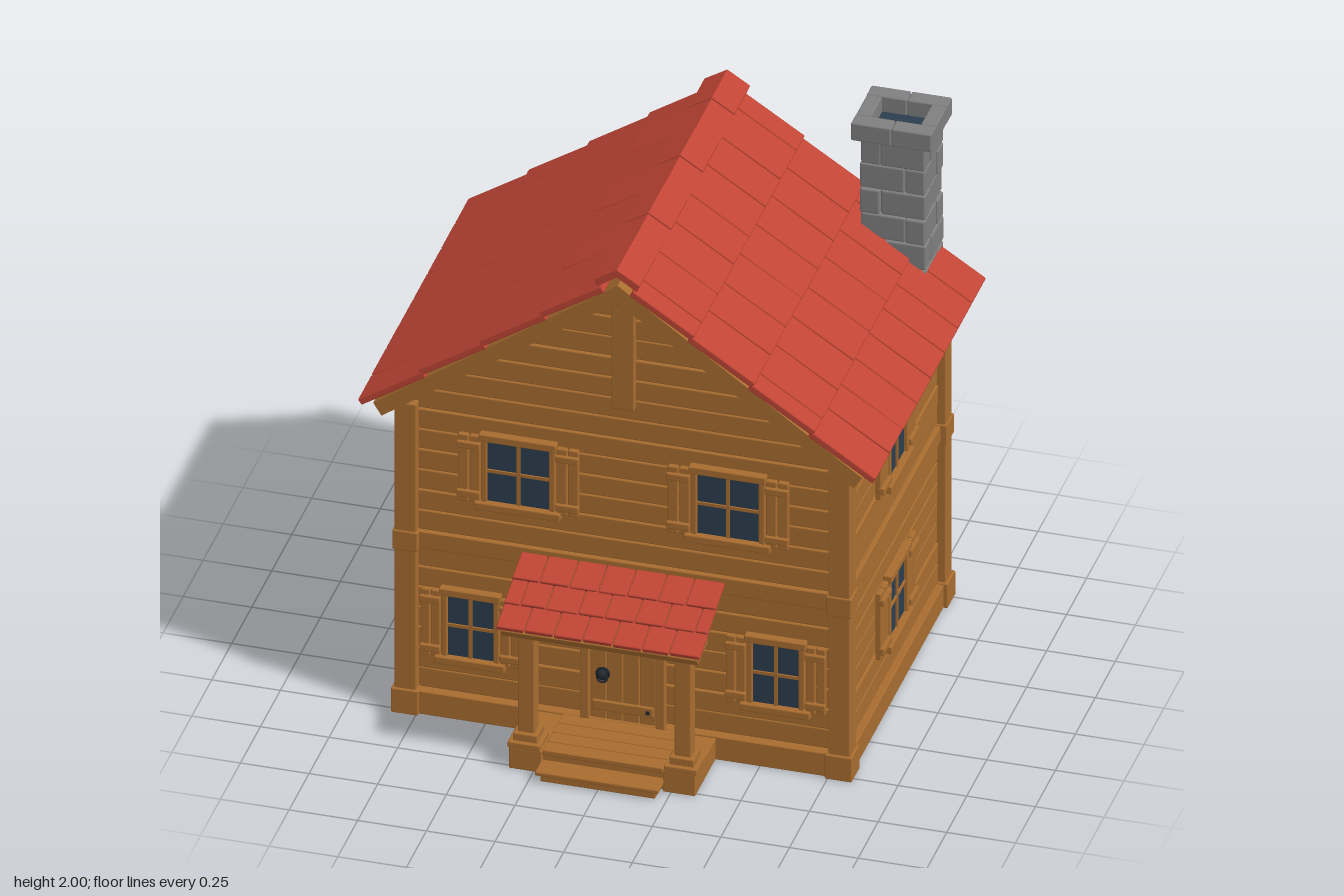
import * as THREE from 'three';
import { RoundedBoxGeometry } from 'three/addons/geometries/RoundedBoxGeometry.js';

const mat = (name, color) => Object.assign(new THREE.MeshStandardMaterial({ color }), { name });

export function createModel() {
  const wood = mat('wood', 0xa96d30), red = mat('redTile', 0xc04535);
  const stone = mat('stone', 0x808080), glass = mat('darkGlass', 0x2c3e50), iron = mat('iron', 0x22282e);

  let seed = 7;
  const jitter = (a) => {
    seed = (seed * 16807) % 2147483647;
    return (seed / 2147483647 - 0.5) * 2 * a;
  };
  const group = (parent, name, x = 0, y = 0, z = 0, ry = 0) => {
    const g = new THREE.Group();
    g.name = name;
    g.position.set(x, y, z);
    g.rotation.y = ry;
    parent.add(g);
    return g;
  };
  const add = (parent, name, geo, m, x = 0, y = 0, z = 0) => {
    const mesh = new THREE.Mesh(geo, m);
    mesh.name = name;
    mesh.position.set(x, y, z);
    parent.add(mesh);
    return mesh;
  };
  // box given by its extents, with softened edges
  const block = (parent, name, m, x0, x1, y0, y1, z0, z1, r = 0.005) => {
    const w = x1 - x0, h = y1 - y0, d = z1 - z0;
    const geo = r ? new RoundedBoxGeometry(w, h, d, 1, Math.min(r, w / 3, h / 3, d / 3)) : new THREE.BoxGeometry(w, h, d);
    return add(parent, name, geo, m, (x0 + x1) / 2, (y0 + y1) / 2, (z0 + z1) / 2);
  };
  // sloping slab whose underside runs from a to b in the xy plane
  const slab = (parent, name, m, a, b, t, z0, z1) => {
    const dx = b[0] - a[0], dy = b[1] - a[1], ang = Math.atan(dy / dx);
    const geo = new RoundedBoxGeometry(Math.hypot(dx, dy), t, z1 - z0, 1, 0.005);
    const mesh = add(parent, name, geo, m, (a[0] + b[0]) / 2 - Math.sin(ang) * t / 2,
      (a[1] + b[1]) / 2 + Math.cos(ang) * t / 2, (z0 + z1) / 2);
    mesh.rotation.z = ang;
    return mesh;
  };
  const extrude = (parent, name, m, pts, z0, z1) => {
    const shape = new THREE.Shape(pts.map((p) => new THREE.Vector2(...p)));
    return add(parent, name, new THREE.ExtrudeGeometry(shape, { depth: z1 - z0, bevelEnabled: false }), m, 0, 0, z0);
  };

  const house = new THREE.Group();
  house.name = 'house';

  // solid core behind the planks
  extrude(house, 'wallCore', wood, [[-0.77, 0.01], [0.77, 0.01], [0.77, 1.3], [0, 1.87], [-0.77, 1.3]], -0.705, 0.46);

  // base and middle band, with corner posts and their blocks
  block(house, 'baseBeam', wood, -0.825, 0.825, 0, 0.095, -0.755, 0.515);
  block(house, 'middleBand', wood, -0.812, 0.812, 0.677, 0.745, -0.742, 0.502);
  for (const s of [-1, 1]) for (const z of [0.48, -0.72]) {
    const corner = group(house, 'cornerPost', s * 0.79, 0, z);
    block(corner, 'post', wood, -0.04, 0.04, 0.02, 1.275, -0.04, 0.04);
    block(corner, 'footBlock', wood, -0.05, 0.05, 0, 0.1, -0.05, 0.05);
    block(corner, 'bandBlock', wood, -0.046, 0.046, 0.67, 0.75, -0.046, 0.046);
  }

  // plank cladding; the gable planks taper with the roof
  const half = (y) => Math.min(0.78, (1.89 - y) / 0.715);
  const plank = (parent, y0, y1, w0, w1) => {
    const h = y1 - y0 - 0.003, d = 0.04;
    const geo = new RoundedBoxGeometry(2 * w0, h, d, 1, 0.006);
    const p = geo.attributes.position;
    for (let i = 0; i < p.count; i++) p.setX(i, p.getX(i) * (1 + (w1 / w0 - 1) * (p.getY(i) / h + 0.5)));
    add(parent, 'plank', geo, wood, 0, (y0 + y1) / 2, -d / 2 + jitter(0.003));
  };
  const walls = [
    ['frontWall', 0, 0.488, 0, true], ['backWall', 0, -0.728, Math.PI, true],
    ['leftWall', 0.8, -0.12, Math.PI / 2, false], ['rightWall', -0.8, -0.12, -Math.PI / 2, false],
  ];
  const wall = {};
  for (const [name, x, z, ry, gable] of walls) {
    const g = wall[name] = group(house, name, x, 0, z, ry);
    for (let i = 0; i < 7; i++) plank(g, 0.095 + i * 0.0832, 0.095 + (i + 1) * 0.0832, gable ? 0.78 : 0.58, gable ? 0.78 : 0.58);
    for (let i = 0; i < (gable ? 13 : 7); i++) {
      const y0 = 0.745 + i * 0.0832, y1 = Math.min(y0 + 0.0832, gable ? 2 : 1.3);
      plank(g, y0, y1, gable ? half(y0) : 0.58, gable ? half(y1) : 0.58);
    }
    if (gable) {
      block(g, 'gablePost', wood, -0.042, 0.042, 1.38, 1.87, -0.01, 0.025);
      block(g, 'gablePostCap', wood, -0.05, 0.05, 1.815, 1.86, -0.01, 0.035);
    }
  }

  // shuttered window, centred on its own origin on the wall face
  const window_ = (parent, x, y, w, sw) => {
    const g = group(parent, 'window', x, y, 0), a = w / 2, h = 0.125;
    block(g, 'pane', glass, -a, a, -h, h, 0.004, 0.012, 0);
    block(g, 'mullion', wood, -0.006, 0.006, -h, h, 0.008, 0.019, 0);
    block(g, 'transom', wood, -a, a, -0.006, 0.006, 0.008, 0.018, 0);
    block(g, 'header', wood, -a - 0.022, a + 0.022, h, h + 0.03, 0, 0.034);
    block(g, 'sill', wood, -a - 0.038, a + 0.038, -h - 0.03, -h, 0, 0.038);
    for (const s of [-1, 1]) {
      block(g, 'jamb', wood, s * (a + 0.005) - 0.011, s * (a + 0.005) + 0.011, -h, h, 0, 0.026);
      const sh = group(g, 'shutter', s * (a + 0.018 + sw / 2));
      for (const k of [-1, 1]) {
        block(sh, 'board', wood, k * sw / 4 - sw / 4 + 0.002, k * sw / 4 + sw / 4 - 0.002, -0.137, 0.137, 0, 0.022);
        block(sh, 'cleat', wood, -sw / 2, sw / 2, k * 0.1 - 0.014, k * 0.1 + 0.014, 0.01, 0.034);
      }
    }
  };
  for (const s of [-1, 1]) {
    window_(wall.frontWall, s * 0.382, 1.04, 0.238, 0.085);
    window_(wall.frontWall, s * 0.556, 0.38, 0.18, 0.075);
  }
  for (const y of [0.38, 1.04]) {
    window_(wall.leftWall, 0, y, 0.21, 0.1);
    window_(wall.rightWall, 0, y, 0.21, 0.1);
  }
  window_(wall.backWall, -0.02, 1.04, 0.21, 0.09);
  window_(wall.backWall, 0.33, 0.38, 0.21, 0.09);

  // main roof: wooden deck, four tile courses a side, ridge caps
  const roof = group(house, 'roof');
  extrude(roof, 'roofDeck', wood, [[0, 1.93], [-0.89, 1.293], [-0.86, 1.245], [0, 1.86], [0.86, 1.245], [0.89, 1.293]], -0.79, 0.575);
  const zBack = -0.8, zFront = 0.587;
  const cuts = (offset, n, lo, hi) => {
    const step = (hi - lo) / n, list = [lo];
    for (let i = 1; i <= n; i++) {
      const z = lo + (i - offset) * step;
      if (z - lo > 0.02 && hi - z > 0.02) list.push(z + jitter(0.008));
    }
    return [...list, hi];
  };
  const deckY = (x) => 1.93 - 0.715 * x;
  for (const s of [-1, 1]) for (let i = 0; i < 4; i++) {
    const lo = 0.93 - i * 0.22, hi = i < 3 ? lo - 0.235 : 0.045;
    const c = cuts(i % 2 ? 0.5 : 0, i ? 7 : 8, zBack, zFront);
    for (let k = 0; k < c.length - 1; k++) {
      const lift = 0.018 + jitter(0.002);
      slab(roof, 'roofTile', red, [s * lo, deckY(lo) + lift], [s * hi, deckY(hi) + 0.002], 0.026, c[k] + 0.002, c[k + 1] - 0.002);
    }
  }
  const capLen = (zFront - zBack) / 7;
  for (let i = 0; i < 7; i++) {
    const d = i % 2 ? 0.003 : 0;
    extrude(roof, 'ridgeCap', red, [[0, 2 - d], [-0.083, 1.948 - d], [-0.073, 1.922], [0, 1.97], [0.073, 1.922], [0.083, 1.948 - d]],
      zBack + i * capLen + 0.002, zBack + (i + 1) * capLen - 0.002);
  }

  // chimney: staggered stone courses and an open crown
  const chimney = group(house, 'chimney', 0.66, 0, -0.71);
  const courses = 19, ch = 1.93 / courses;
  for (let i = 0; i < courses; i++) {
    const o = i % 2 ? 1 : -1, mx = o * 0.045, mz = -o * 0.04, y = i * ch;
    for (const [x0, x1] of [[-0.12, mx], [mx, 0.12]]) for (const [z0, z1] of [[-0.112, mz], [mz, 0.112]]) {
      const jx = jitter(0.004), jz = jitter(0.004);
      block(chimney, 'stoneBlock', stone, x0 + jx + 0.001, x1 + jx - 0.001, y + (i ? 0.001 : 0), y + ch - 0.001, z0 + jz + 0.001, z1 + jz - 0.001, 0.008);
    }
  }
  for (const s of [-1, 1]) {
    const z = s * 0.1, x = s * 0.118;
    block(chimney, 'crownStone', stone, -0.147, -0.001, 1.928, 2, z - 0.032, z + 0.032, 0.006);
    block(chimney, 'crownStone', stone, 0.001, 0.147, 1.928, 2, z - 0.032, z + 0.032, 0.006);
    block(chimney, 'crownStone', stone, x - 0.028, x + 0.028, 1.928, 2, -0.069, 0.069, 0.006);
  }
  block(chimney, 'flueOpening', glass, -0.095, 0.095, 1.93, 1.938, -0.073, 0.073, 0);

  // porch floor, step and posts
  const porch = group(house, 'porch');
  block(porch, 'porchBase', wood, -0.325, 0.325, 0, 0.075, 0.48, 0.755);
  for (let i = 0; i < 4; i++) block(porch, 'floorBoard', wood, -0.22, 0.22, 0.07, 0.092, 0.51 + i * 0.064, 0.572 + i * 0.064);
  block(porch, 'stepRiser', wood, -0.21, 0.21, 0, 0.032, 0.74, 0.825);
  block(porch, 'stepTread', wood, -0.225, 0.225, 0.03, 0.047, 0.74, 0.84);
  for (const s of [-1, 1]) {
    block(porch, 'sideSill', wood, s * 0.28 - 0.06, s * 0.28 + 0.06, 0, 0.088, 0.5, 0.77);
    const post = group(porch, 'porchPost', s * 0.285, 0, 0.712);
    block(post, 'plinth', wood, -0.06, 0.06, 0.085, 0.11, -0.06, 0.06);
    block(post, 'plinthStep', wood, -0.045, 0.045, 0.108, 0.14, -0.045, 0.045);
    block(post, 'shaft', wood, -0.03, 0.03, 0.135, 0.6, -0.029, 0.029);
    block(post, 'capital', wood, -0.042, 0.042, 0.56, 0.582, -0.041, 0.041);
  }
  block(porch, 'porchBeam', wood, -0.36, 0.36, 0.58, 0.605, 0.68, 0.745);

  // porch roof, sloping forward
  const porchRoof = group(porch, 'porchRoof', 0, 0, 0, -Math.PI / 2);
  const porchY = (z) => 0.7 - 0.4 * (z - 0.53);
  slab(porchRoof, 'porchDeck', wood, [0.8, porchY(0.8) - 0.032], [0.48, porchY(0.48) - 0.032], 0.03, -0.36, 0.36);
  for (let i = 0; i < 3; i++) {
    const lo = 0.82 - i * 0.1, hi = Math.max(lo - 0.12, 0.5), c = cuts(i % 2 ? 0.5 : 0, 7, -0.372, 0.372);
    for (let k = 0; k < c.length - 1; k++)
      slab(porchRoof, 'porchTile', red, [lo, porchY(lo) + 0.012 + jitter(0.002)], [hi, porchY(hi) + 0.001], 0.018, c[k] + 0.002, c[k + 1] - 0.002);
  }

  // front door
  const door = group(house, 'door', 0, 0, 0.488);
  for (let i = 0; i < 4; i++) block(door, 'doorBoard', wood, -0.12 + i * 0.06, -0.061 + i * 0.06, 0.092, 0.515, 0, 0.018);
  for (const s of [-1, 1]) block(door, 'doorJamb', wood, s * 0.138 - 0.017, s * 0.138 + 0.017, 0.09, 0.52, 0, 0.032);
  block(door, 'doorHeader', wood, -0.167, 0.167, 0.518, 0.552, 0, 0.04);
  for (const y of [0.15, 0.465]) {
    block(door, 'doorCleat', wood, -0.112, 0.112, y - 0.02, y + 0.02, 0.01, 0.028);
    block(door, 'hingePin', iron, 0.085, 0.1, y - 0.007, y + 0.007, 0.02, 0.032, 0);
  }
  const plate = add(door, 'knobPlate', new THREE.CylinderGeometry(0.026, 0.026, 0.008, 16), iron, -0.073, 0.28, 0.021);
  plate.rotation.x = Math.PI / 2;
  add(door, 'knob', new THREE.SphereGeometry(0.019, 14, 10), iron, -0.073, 0.287, 0.038);
  add(door, 'knockerRing', new THREE.TorusGeometry(0.018, 0.004, 8, 16), iron, -0.073, 0.268, 0.03);

  return house;
}
